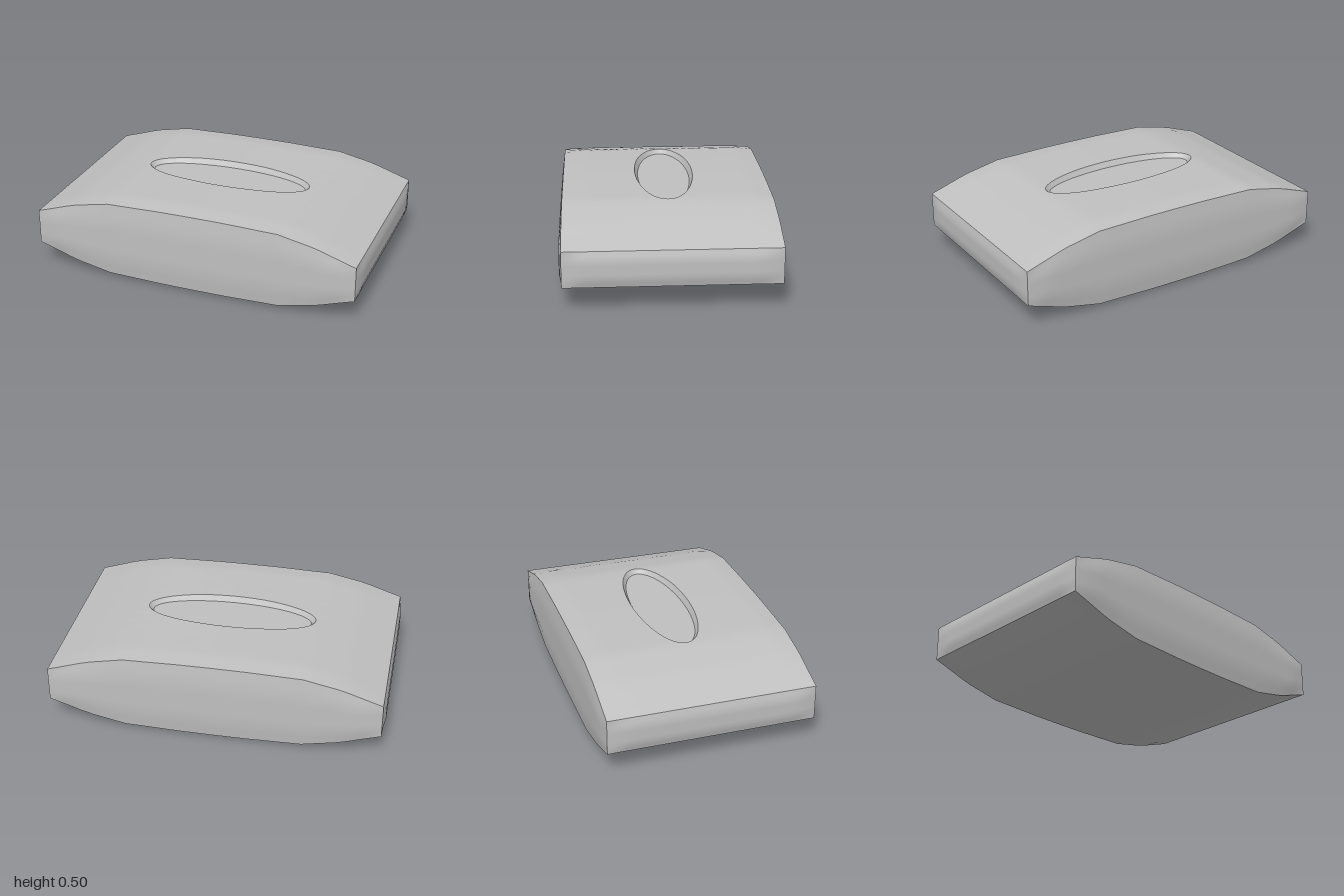
import * as THREE from 'three';

const HX = 0.985, HZ = 0.61, MID = 0.25; // half length, half depth, middle height
const NX = 30, NZ = 22;                  // segments along x and z
const clamp01 = (v) => Math.min(1, Math.max(0, v));

// Height of the pillowed upper face above the mid plane
const PROFILE = [[0, 0.5], [0.2, 0.499], [0.525, 0.49], [0.75, 0.441], [HX, 0.355]];
function rise(x, z) {
  const ax = Math.min(Math.abs(x), HX);
  let i = 0;
  while (i < PROFILE.length - 2 && ax > PROFILE[i + 1][0]) i++;
  const [x0, y0] = PROFILE[i], [x1, y1] = PROFILE[i + 1];
  const y = y0 + (y1 - y0) * (ax - x0) / (x1 - x0);
  const drop = 0.012 * clamp01((Math.abs(z) - 0.5) / 0.11) * (1 - (ax / HX) ** 4);
  return y - drop - MID;
}

// Move every vertex of a geometry by a rule
function reshape(geometry, rule) {
  const p = geometry.attributes.position, v = new THREE.Vector3();
  for (let i = 0; i < p.count; i++) {
    rule(v.fromBufferAttribute(p, i));
    p.setXYZ(i, v.x, v.y, v.z);
  }
  geometry.computeVertexNormals();
  return geometry;
}

// Skin closed rings of points, ordered from the outside in
function loft(rings) {
  const n = rings[0].length, index = [];
  for (let i = 0; i < rings.length - 1; i++) {
    for (let j = 0; j < n; j++) {
      const a = i * n + j, b = i * n + (j + 1) % n;
      index.push(a, a + n, b, b, a + n, b + n);
    }
  }
  const g = new THREE.BufferGeometry().setFromPoints(rings.flat());
  g.setIndex(index);
  g.computeVertexNormals();
  return g;
}

// Rectangle outline walked from corner to corner
function outline() {
  const pts = [];
  for (let i = 0; i < NZ; i++) pts.push([HX, -HZ + 2 * HZ * i / NZ]);
  for (let i = 0; i < NX; i++) pts.push([HX - 2 * HX * i / NX, HZ]);
  return pts.concat(pts.map(([x, z]) => [-x, -z]));
}

export function createModel() {
  const group = new THREE.Group();
  const grey = new THREE.MeshStandardMaterial({ color: 0xc0c0c0 });
  grey.name = 'light grey';
  const add = (name, geometry) => {
    const mesh = new THREE.Mesh(geometry, grey);
    mesh.name = name;
    group.add(mesh);
    return mesh;
  };

  // Top sheet, spreading from the oval opening to the rectangular edge
  const edge = outline();
  const oval = (rx, rz, y) => edge.map(([x, z]) => {
    const a = Math.atan2(z / HZ, x / HX);
    const px = rx * Math.cos(a), pz = rz * Math.sin(a);
    return new THREE.Vector3(px, y ?? MID + rise(px, pz), pz);
  });
  const rim = oval(0.515, 0.175);
  const rings = [];
  for (let k = 0; k <= 12; k++) {
    rings.push(edge.map(([x, z], j) => {
      const px = THREE.MathUtils.lerp(x, rim[j].x, k / 12);
      const pz = THREE.MathUtils.lerp(z, rim[j].z, k / 12);
      return new THREE.Vector3(px, MID + rise(px, pz), pz);
    }));
  }
  add('topSheet', loft(rings));

  // Shallow oval recess
  const floorY = 0.465;
  add('openingWall', loft([rim, oval(0.488, 0.156, floorY)]));
  add('openingFloor', loft([oval(0.488, 0.156, floorY), oval(0, 0, floorY)]));

  // Bottom sheet mirrors the top without the opening
  const bottom = new THREE.PlaneGeometry(2 * HX, 2 * HZ, NX, NZ).rotateX(Math.PI / 2);
  add('bottomSheet', reshape(bottom, (v) => { v.y = MID - rise(v.x, v.z); }));

  // Slightly bulging side panels
  const bulge = (t, u, width) => 0.015 * clamp01((1 - Math.abs(2 * t)) / 0.5) * clamp01((1 - Math.abs(u)) / width);
  for (const [name, turn] of [['frontPanel', 0], ['backPanel', Math.PI]]) {
    const g = new THREE.PlaneGeometry(2 * HX, 1, NX, 8);
    add(name, reshape(g, (v) => {
      v.z = HZ + bulge(v.y, v.x / HX, 0.1);
      v.y = MID + 2 * v.y * rise(v.x, HZ);
    })).rotation.y = turn;
  }
  for (const [name, turn] of [['leftEnd', Math.PI / 2], ['rightEnd', -Math.PI / 2]]) {
    const g = new THREE.PlaneGeometry(2 * HZ, 1, NZ, 8);
    add(name, reshape(g, (v) => {
      v.z = HX + bulge(v.y, v.x / HZ, 0.15);
      v.y = MID + 2 * v.y * rise(HX, v.x);
    })).rotation.y = turn;
  }

  return group;
}
